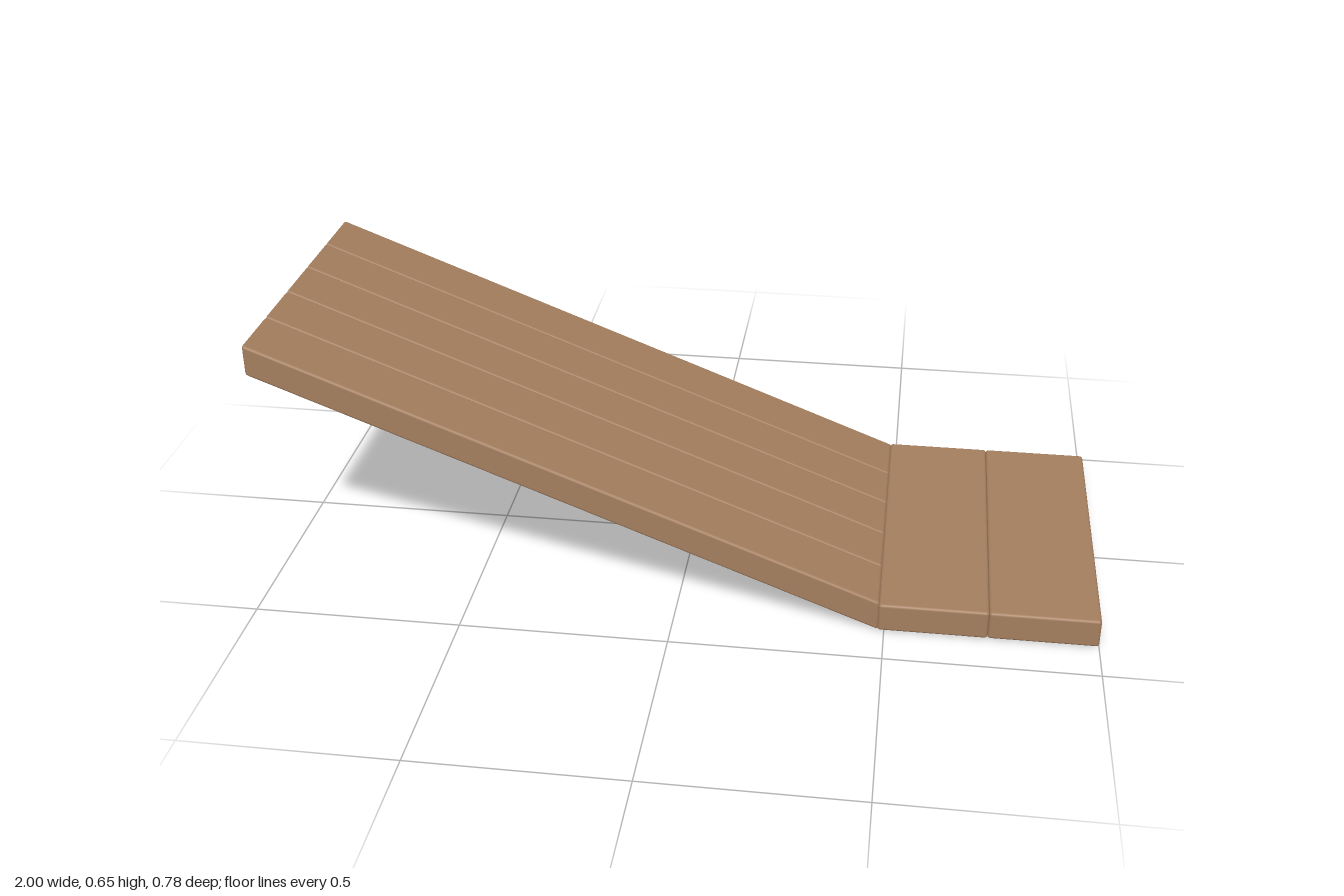
import * as THREE from 'three';
import { RoundedBoxGeometry } from 'three/addons/geometries/RoundedBoxGeometry.js';

const SLOPE = 0.387; // drop per unit of length

export function createModel() {
  const group = new THREE.Group();
  group.name = 'woodenRamp';
  const wood = new THREE.MeshStandardMaterial({ color: 0xa47e5e });
  wood.name = 'wood';

  // Soft-edged board spanning the given x and z ranges
  function board(name, [x0, x1], [z0, z1], height, y, segments) {
    const geometry = new RoundedBoxGeometry(x1 - x0, height, z1 - z0, segments, 0.007);
    const mesh = new THREE.Mesh(geometry, wood);
    mesh.name = name;
    mesh.position.set((x0 + x1) / 2, y, (z0 + z1) / 2);
    group.add(mesh);
    return mesh;
  }

  // Five sloping planks, sheared so that their ends stay vertical
  const shear = new THREE.Matrix4().set(
    1, 0, 0, 0,
    -SLOPE, 1, 0, 0,
    0, 0, 1, 0,
    0, 0, 0, 1
  );
  const seams = [-0.385, -0.225, -0.075, 0.075, 0.225, 0.385];
  for (let i = 0; i < 5; i++) {
    const plank = board(`rampPlank${i + 1}`, [-1, 0.487], [seams[i], seams[i + 1]], 0.077, 0.326, 2);
    plank.geometry.applyMatrix4(shear);
  }

  // Two flat boards across the foot of the ramp
  board('innerFootBoard', [0.485, 0.742], [-0.392, 0.392], 0.072, 0.04, 5);
  board('outerFootBoard', [0.742, 1], [-0.392, 0.392], 0.072, 0.04, 5);

  return group;
}
